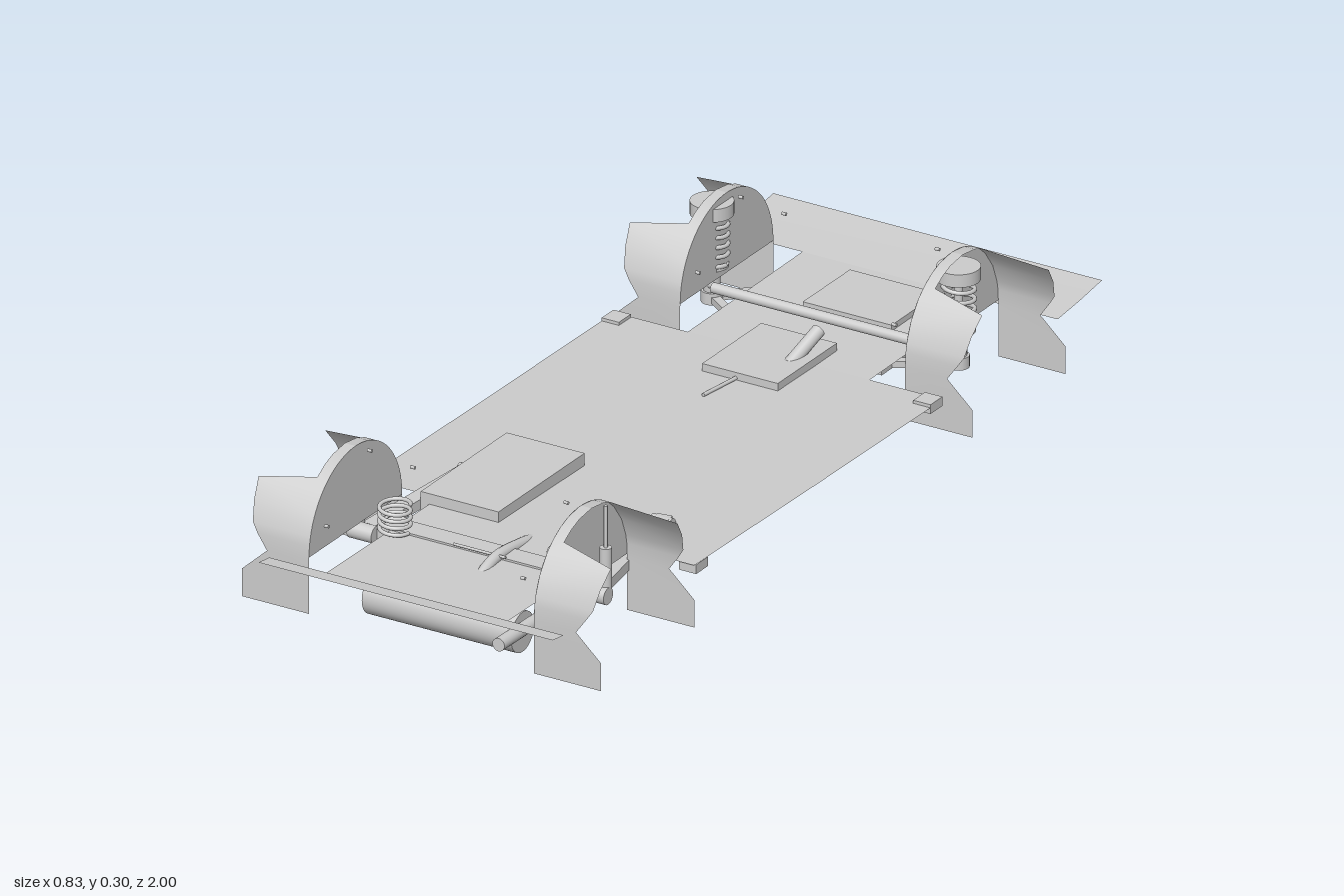
import * as THREE from 'three';

const mat = new THREE.MeshStandardMaterial({ color: 0xcccccc });
const sheetMat = new THREE.MeshStandardMaterial({ color: 0xcccccc, side: THREE.DoubleSide });
const V = (x, y, z) => new THREE.Vector3(x, y, z);

export function createModel() {
  const root = new THREE.Group();

  function add(name, geo, material = mat) {
    const mesh = new THREE.Mesh(geo, material);
    mesh.name = name;
    root.add(mesh);
    return mesh;
  }
  // box given by its limits
  function box(name, x0, x1, y0, y1, z0, z1) {
    const g = new THREE.BoxGeometry(x1 - x0, y1 - y0, z1 - z0);
    g.translate((x0 + x1) / 2, (y0 + y1) / 2, (z0 + z1) / 2);
    return add(name, g);
  }
  // straight round bar between two points
  function rod(name, a, b, r, sides = 20) {
    const m = add(name, new THREE.CylinderGeometry(r, r, a.distanceTo(b), sides));
    m.position.copy(a).lerp(b, 0.5);
    m.quaternion.setFromUnitVectors(V(0, 1, 0), b.clone().sub(a).normalize());
    return m;
  }
  // flat bar between two points
  function bar(name, a, b, w, h) {
    const m = add(name, new THREE.BoxGeometry(w, h, a.distanceTo(b)));
    m.position.copy(a).lerp(b, 0.5);
    m.lookAt(b);
    return m;
  }
  function tube(name, pts, r, segments = 48) {
    return add(name, new THREE.TubeGeometry(new THREE.CatmullRomCurve3(pts), segments, r, 14));
  }
  function spring(name, x, z, y0, y1, radius, turns, r) {
    const pts = [];
    for (let i = 0; i <= turns * 16; i++) {
      const a = (i / 16) * Math.PI * 2;
      pts.push(V(x + Math.cos(a) * radius, y0 + (y1 - y0) * i / (turns * 16), z + Math.sin(a) * radius));
    }
    return tube(name, pts, r, turns * 24);
  }
  // sheet ruled between pairs of points
  function ruled(name, pairs) {
    const pos = [], idx = [];
    pairs.forEach(([a, b], i) => {
      pos.push(...a.toArray(), ...b.toArray());
      if (i) {
        const k = i * 2;
        idx.push(k - 2, k, k - 1, k - 1, k, k + 1);
      }
    });
    const g = new THREE.BufferGeometry();
    g.setAttribute('position', new THREE.Float32BufferAttribute(pos, 3));
    g.setIndex(idx);
    g.computeVertexNormals();
    return add(name, g, sheetMat);
  }

  // floor sections, back to front: name, then rows of [z, half width, height]
  const floors = {
    backApron: [[-1, 0.38, 0.118], [-0.92, 0.38, 0.107], [-0.835, 0.38, 0.099]],
    backFloor: [[-0.835, 0.21, 0.099], [-0.41, 0.21, 0.095]],
    mainFloor: [[-0.41, 0.38, 0.095], [0.05, 0.38, 0.098], [0.515, 0.38, 0.104]],
    frontFloor: [[0.515, 0.21, 0.104], [0.935, 0.21, 0.108]],
    frontApron: [[0.935, 0.34, 0.11], [0.975, 0.34, 0.115]],
  };
  for (const [name, rows] of Object.entries(floors))
    ruled(name, rows.map(([z, w, y]) => [V(-w, y, z), V(w, y, z)]));

  // boxes set into the floor
  box('tank', -0.23, -0.05, 0.065, 0.127, 0.23, 0.55);
  box('gearboxHousing', -0.09, 0.085, 0.03, 0.112, -0.49, -0.27);
  box('sump', -0.075, 0.13, 0.042, 0.11, -0.795, -0.62);

  // subframe below the back floor
  for (const s of [-1, 1]) {
    const x = s * 0.17;
    box('subframeRail', x - 0.012, x + 0.012, 0.062, 0.095, -0.81, -0.5);
  }
  box('subframeCrossMember', -0.17, 0.17, 0.062, 0.095, -0.82, -0.8);
  box('subframeCrossMember', -0.17, 0.17, 0.062, 0.095, -0.54, -0.51);

  // exhaust line
  tube('exhaustPipe', [V(0, 0.06, -0.29), V(0, 0.058, 0.03), V(0.01, 0.063, 0.25), V(0.03, 0.075, 0.48),
    V(0.035, 0.1, 0.6), V(0.037, 0.11, 0.7), V(0.04, 0.095, 0.76), V(0.045, 0.058, 0.82), V(0.045, 0.055, 0.86)], 0.012, 80);
  rod('resonator', V(0, 0.057, -0.09), V(0, 0.057, 0.145), 0.028, 32);
  rod('muffler', V(-0.14, 0.058, 0.87), V(0.205, 0.058, 0.87), 0.043, 40);
  tube('tailpipeLink', [V(0.19, 0.065, 0.87), V(0.215, 0.075, 0.87), V(0.23, 0.088, 0.9)], 0.009, 16);
  rod('tailpipe', V(0.23, 0.085, 0.83), V(0.23, 0.088, 1), 0.014);

  // controls
  rod('lever', V(0.045, 0.1, -0.375), V(0.058, 0.143, -0.465), 0.014);
  rod('linkageRod', V(-0.012, 0.1, -0.27), V(-0.025, 0.1, -0.17), 0.004, 10);
  rod('balanceRod', V(-0.06, 0.115, 0.7), V(0.06, 0.115, 0.7), 0.003, 10);

  // cross parts of the suspension
  box('axleBeam', -0.24, 0.24, 0.068, 0.11, 0.645, 0.695);
  rod('steeringRack', V(-0.25, 0.118, -0.568), V(0.25, 0.118, -0.568), 0.011);

  // outer edge of an arch seen from the front: [height, x]
  const edge = [[0, 0.415], [0.06, 0.415], [0.113, 0.357], [0.145, 0.38], [0.165, 0.393], [0.205, 0.4],
    [0.243, 0.407], [0.262, 0.285], [0.278, 0.285], [0.289, 0.285], [0.295, 0.285]];
  const R = 0.173, baseY = 0.122, wallX = 0.26;

  for (const s of [-1, 1]) {
    // wheel arches: inner wall plus flared skin
    for (const c of [-0.635, 0.743]) {
      const end = c < 0 ? 'back' : 'front';
      const half = (sign) => edge.map(([y, x]) => {
        const h = Math.max(0, y - baseY);
        const z = c + sign * Math.sqrt(Math.max(0, R * R - h * h));
        return [V(s * wallX, y, z), V(s * x, y, z)];
      });
      ruled(end + 'ArchSkin', [...half(-1), ...half(1).reverse()]);
      const wall = add(end + 'ArchWall', new THREE.CircleGeometry(R, 40, 0, Math.PI), sheetMat);
      wall.rotation.y = Math.PI / 2;
      wall.position.set(s * wallX, baseY, c);
      // small fasteners
      for (const [y, dz] of [[0.293, 0], [0.193, -0.16], [0.193, 0.16]])
        rod('fastener', V(s * 0.222, y, c + dz), V(s * 0.232, y, c + dz), 0.0035, 8);
    }

    // back struts
    const sx = s * 0.285, sz = -0.62;
    rod('strutCap', V(sx, 0.25, sz), V(sx, 0.278, sz), 0.044, 32);
    rod('strutRod', V(sx, 0.13, sz), V(sx, 0.26, sz), 0.009);
    rod('strutBody', V(sx, 0.075, sz), V(sx, 0.15, sz), 0.017);
    rod('strutSeat', V(sx, 0.137, sz), V(sx, 0.143, sz), 0.034, 28);
    spring('strutSpring', sx, sz, 0.145, 0.25, 0.032, 5, 0.0045);
    rod('tieRod', V(s * 0.215, 0.115, -0.568), V(sx, 0.1, -0.61), 0.007);
    bar('controlArm', V(s * 0.17, 0.07, -0.735), V(sx, 0.07, sz), 0.018, 0.014);
    bar('controlArm', V(s * 0.17, 0.07, -0.54), V(sx, 0.07, sz), 0.018, 0.014);
    rod('hubJoint', V(sx, 0.06, sz), V(sx, 0.085, sz), 0.022);

    // front trailing arms, springs and dampers
    bar('trailingArm', V(s * 0.223, 0.107, 0.37), V(s * 0.265, 0.092, 0.7), 0.032, 0.022);
    rod('armBushing', V(s * 0.2, 0.105, 0.38), V(s * 0.246, 0.105, 0.38), 0.013);
    spring('coilSpring', s * 0.196, 0.7, 0.112, 0.17, 0.031, 4, 0.0042);
    rod('damperBody', V(s * 0.285, 0.09, 0.69), V(s * 0.285, 0.19, 0.69), 0.012);
    rod('damperRod', V(s * 0.285, 0.19, 0.69), V(s * 0.285, 0.28, 0.69), 0.004, 12);
    rod('stubAxle', V(s * 0.24, 0.09, 0.7), V(s * 0.297, 0.09, 0.7), 0.018);

    // jacking points at the floor corners
    for (const z of [-0.385, 0.485])
      box('jackingPoint', s * 0.36 - 0.02, s * 0.36 + 0.02, 0.082, 0.102, z - 0.022, z + 0.022);
  }

  return root;
}
